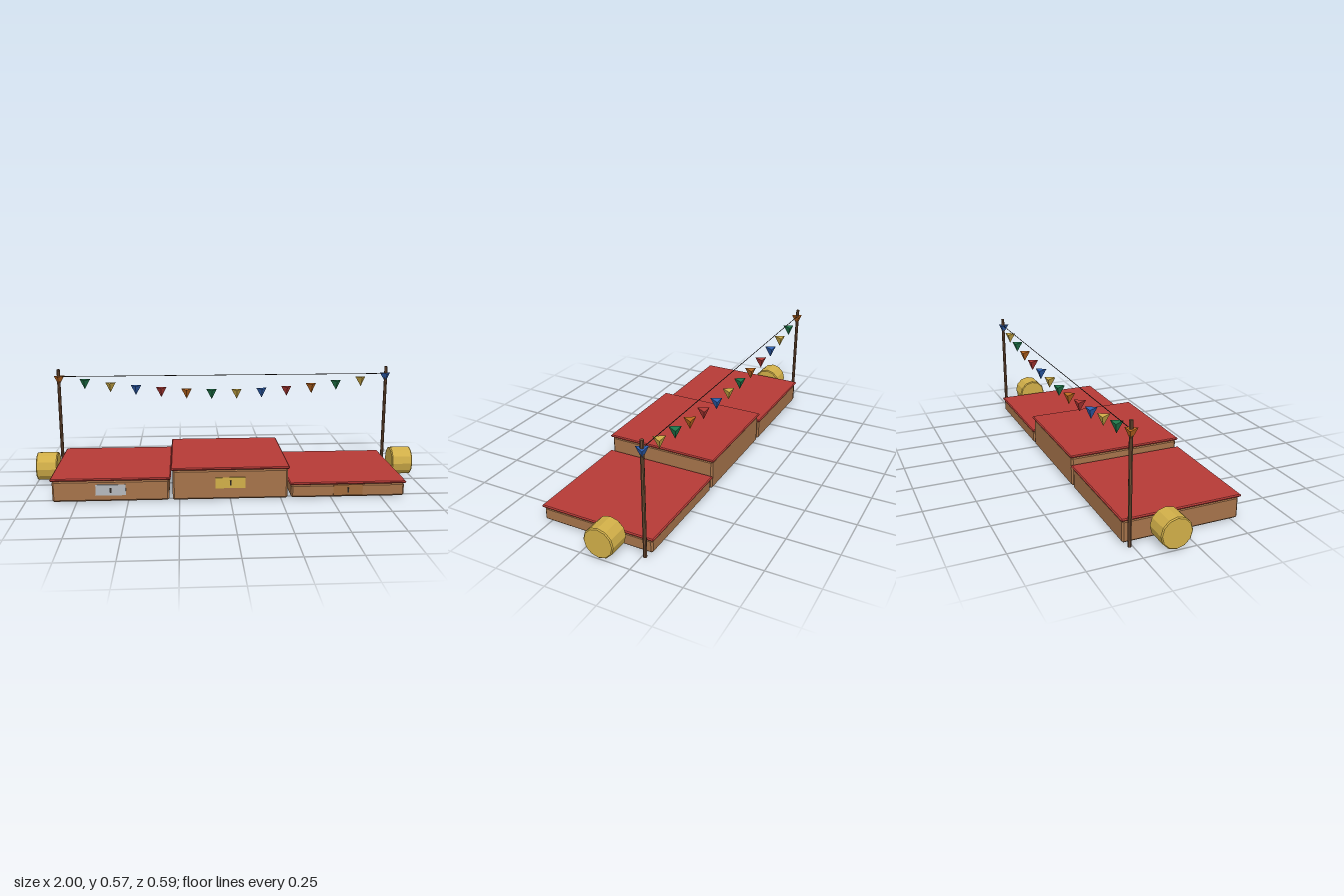
import * as THREE from 'three';
import { ConvexGeometry } from 'three/addons/geometries/ConvexGeometry.js';

const colours = {
  wood: 0xa5734a, carpetRed: 0xb53a36, gold: 0xd0ae48, silver: 0xb4b8bc, bronze: 0xa06a3c,
  poleBrown: 0x6e4c33, blue: 0x2f62b5, green: 0x1f7a4c, orange: 0xc0691f, dark: 0x2c2622,
};

// Box with chamfered edges, centred on the origin
function chamferBox(w, h, d, c) {
  const pts = [];
  for (const sx of [-1, 1]) for (const sy of [-1, 1]) for (const sz of [-1, 1]) {
    for (let axis = 0; axis < 3; axis++) {
      const inset = [c, c, c];
      inset[axis] = 0;
      pts.push(new THREE.Vector3(
        sx * (w / 2 - inset[0]), sy * (h / 2 - inset[1]), sz * (d / 2 - inset[2])));
    }
  }
  return new ConvexGeometry(pts);
}

// Give every face its own normal
function faceted(geometry) {
  const g = geometry.toNonIndexed();
  g.computeVertexNormals();
  return g;
}

export function createModel() {
  const model = new THREE.Group();
  model.name = 'winnersPodium';
  const mats = {};
  for (const [name, color] of Object.entries(colours)) {
    mats[name] = new THREE.MeshStandardMaterial({ color });
    mats[name].name = name;
  }
  const add = (parent, name, geometry, mat, x, y, z) => {
    const mesh = new THREE.Mesh(geometry, mats[mat]);
    mesh.name = name;
    mesh.position.set(x, y, z);
    parent.add(mesh);
    return mesh;
  };

  // Three steps, each with a carpet, a plaque and a small mark
  const steps = [
    { name: 'secondStep', x: -0.584, h: 0.107, plaque: 'silver', py: 0.061 },
    { name: 'firstStep', x: 0, h: 0.152, plaque: 'gold', py: 0.087 },
    { name: 'thirdStep', x: 0.584, h: 0.068, plaque: 'bronze', py: 0.039 },
  ];
  for (const s of steps) {
    const step = new THREE.Group();
    step.name = s.name;
    step.position.x = s.x;
    model.add(step);
    add(step, 'block', chamferBox(0.567, s.h - 0.002, 0.566, 0.008), 'wood', 0, s.h / 2 + 0.001, 0);
    add(step, 'carpet', chamferBox(0.584, 0.012, 0.584, 0.005), 'carpetRed', 0, s.h + 0.007, 0);
    add(step, 'plaque', new THREE.BoxGeometry(0.146, 0.054, 0.008), s.plaque, 0, s.py, 0.285);
    add(step, 'plaqueMark', new THREE.BoxGeometry(0.008, 0.024, 0.004), 'dark', 0, s.py, 0.291);
  }

  // Twelve-sided drums lying on their sides
  const drumProfile = [[0, -0.055], [0.07, -0.055], [0.075, -0.05], [0.075, 0.05], [0.07, 0.055], [0, 0.055]]
    .map(([r, y]) => new THREE.Vector2(r, y));
  const drum = faceted(new THREE.LatheGeometry(drumProfile, 12).rotateZ(Math.PI / 2));

  // Drums and bunting poles on both sides
  const postX = 0.897, postZ = -0.264;
  const pole = faceted(new THREE.CylinderGeometry(0.009, 0.009, 0.567, 8));
  for (const [side, sx] of [['left', 1], ['right', -1]]) {
    add(model, side + 'Drum', drum, 'gold', sx * 0.945, 0.077, -0.095);
    add(model, side + 'Pole', pole, 'poleBrown', sx * postX, 0.2835, postZ);
  }

  // Straight line between the poles
  const line = new THREE.CylinderGeometry(0.0018, 0.0018, postX * 2, 6).rotateZ(Math.PI / 2);
  add(model, 'buntingLine', line, 'dark', 0, 0.528, postZ);

  // Three-sided pennants following a sagging curve
  const pennants = new THREE.Group();
  pennants.name = 'pennants';
  model.add(pennants);
  const pennant = faceted(new THREE.CylinderGeometry(0.033, 0, 0.052, 3));
  const order = ['orange', 'green', 'gold', 'blue', 'carpetRed'];
  for (let i = 0; i < 14; i++) {
    const t = i / 13;
    const top = 0.53 - 0.084 * Math.sin(Math.PI * t);
    add(pennants, 'pennant' + (i + 1), pennant, order[i % 5], postX * (2 * t - 1), top - 0.026, postZ);
  }
  return model;
}
